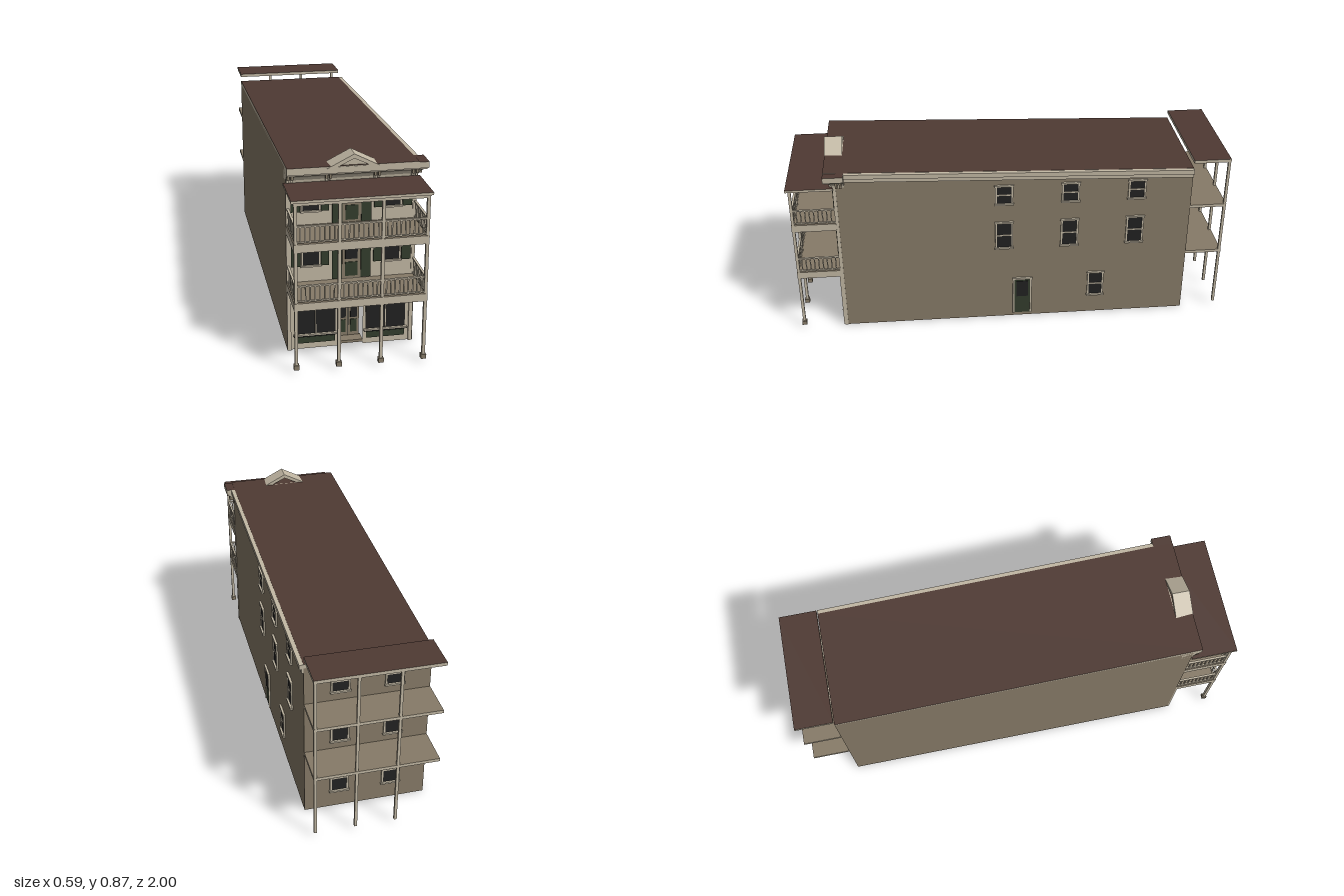
import * as THREE from 'three';

const mat = (name, color, side = THREE.FrontSide) => {
  const m = new THREE.MeshStandardMaterial({ color, side });
  m.name = name;
  return m;
};

export function createModel() {
  const cream = mat('cream trim', 0xc2b8a4, THREE.DoubleSide);
  const tan = mat('tan wall', 0x877b68, THREE.DoubleSide);
  const brown = mat('brown roof', 0x4f3a33);
  const green = mat('dark green', 0x333d2d);
  const glass = mat('dark glass', 0x222222);
  const root = new THREE.Group();
  root.name = 'building';

  const X0 = -0.285, X1 = 0.252, XC = (X0 + X1) / 2, ZF = 0.79, ZB = -0.83;
  const roofY = z => 0.79 + 0.0331 * z;

  const add = (parent, name, geo, material) => {
    const m = new THREE.Mesh(geo, material);
    m.name = name;
    parent.add(m);
    return m;
  };
  // Box given by its limits on each axis
  const box = (parent, name, material, x0, x1, y0, y1, z0, z1) => {
    const g = new THREE.BoxGeometry(x1 - x0, y1 - y0, z1 - z0);
    g.translate((x0 + x1) / 2, (y0 + y1) / 2, (z0 + z1) / 2);
    return add(parent, name, g, material);
  };
  // Box whose heights are measured from the sloping roof line
  const slopedBox = (name, material, x0, x1, d0, d1, z0, z1) => {
    const m = box(root, name, material, x0, x1, d0, d1, z0, z1);
    const p = m.geometry.attributes.position;
    for (let i = 0; i < p.count; i++) p.setY(i, p.getY(i) + roofY(p.getZ(i)));
    m.geometry.computeVertexNormals();
    return m;
  };
  const group = (name, x = 0, y = 0, z = 0, turn = 0) => {
    const g = new THREE.Group();
    g.name = name;
    g.position.set(x, y, z);
    g.rotation.y = turn;
    root.add(g);
    return g;
  };
  const shape = pts => new THREE.Shape(pts.map(p => new THREE.Vector2(...p)));

  // Walls: an open-bottomed shell with a notch for the shop door
  const sideShape = shape([[-ZF, 0], [-ZB, 0], [-ZB, roofY(ZB) - 0.01], [-ZF, roofY(ZF) - 0.01]]);
  for (const [name, x] of [['rightWall', X1], ['leftWall', X0]]) {
    const g = new THREE.ShapeGeometry(sideShape);
    if (x < 0) { g.rotateY(-Math.PI / 2); g.scale(1, 1, -1); g.index.array.reverse(); g.computeVertexNormals(); } else g.rotateY(Math.PI / 2);
    add(root, name, g, tan).position.x = x;
  }
  const D0 = -0.07, D1 = 0.038;
  add(root, 'frontWall', new THREE.ShapeGeometry(shape([[X0, 0], [D0, 0], [D0, 0.236], [D1, 0.236],
    [D1, 0], [X1, 0], [X1, 0.8], [X0, 0.8]])), cream).position.z = ZF;
  const back = add(root, 'backWall', new THREE.PlaneGeometry(X1 - X0, roofY(ZB) - 0.01), tan);
  back.position.set(XC, (roofY(ZB) - 0.01) / 2, ZB);
  back.rotation.y = Math.PI;
  box(root, 'cornerBoard', cream, X1 - 0.012, X1 + 0.003, 0, 0.76, ZF - 0.012, ZF + 0.003);

  // Main roof and eaves along the right side
  slopedBox('mainRoof', [cream, cream, brown, tan, cream, cream], X0, X1, -0.018, 0, ZB, 0.83);
  slopedBox('sideEave', cream, X1, 0.27, -0.022, -0.001, ZB, 0.74);
  slopedBox('sideFrieze', cream, X1, 0.261, -0.042, -0.022, ZB, 0.74);

  // Front cornice: slab over a cove that turns the right corner
  const slabMats = [cream, cream, brown, cream, cream, cream];
  box(root, 'corniceSlab', slabMats, X0, 0.293, 0.788, 0.814, 0.74, 0.83);
  const cove = [[0.004, 0.745], [0.006, 0.757], [0.013, 0.769], [0.024, 0.778], [0.034, 0.782], [0.034, 0.789]];
  const pos = [], idx = [];
  cove.forEach(([d, y], i) => {
    pos.push(X0, y, 0.74, X0, y, ZF + d, X1 + d, y, ZF + d, X1 + d, y, 0.74);
    if (i) for (let k = 0; k < 4; k++) {
      const a = (i - 1) * 4 + k, b = (i - 1) * 4 + (k + 1) % 4;
      idx.push(a, b, b + 4, a, b + 4, a + 4);
    }
  });
  let coveGeo = new THREE.BufferGeometry();
  coveGeo.setAttribute('position', new THREE.Float32BufferAttribute(pos, 3));
  coveGeo.setIndex(idx);
  coveGeo = coveGeo.toNonIndexed();
  coveGeo.computeVertexNormals();
  add(root, 'corniceCove', coveGeo, cream);
  // Paired brackets under the cornice
  for (const x of [-0.27, -0.115, 0.084, 0.24]) for (const s of [-0.008, 0.008]) {
    box(root, 'bracket', tan, x + s - 0.005, x + s + 0.005, 0.764, 0.783, ZF, ZF + 0.028);
    box(root, 'bracketDrop', cream, x + s - 0.004, x + s + 0.004, 0.75, 0.764, ZF, ZF + 0.016);
  }
  for (const z of [0.755, 0.773])
    box(root, 'sideBracket', tan, X1, X1 + 0.026, 0.752, 0.783, z - 0.005, z + 0.005);

  // Gable ornament with a sunken triangle
  const ped = shape([[-0.125, 0.79], [-0.09, 0.79], [-0.078, 0.797], [0.048, 0.797], [0.06, 0.79],
    [0.095, 0.79], [0.095, 0.809], [-0.015, 0.865], [-0.125, 0.809]]);
  ped.holes.push(new THREE.Path([[-0.08, 0.815], [-0.015, 0.846], [0.05, 0.815]].map(p => new THREE.Vector2(...p))));
  add(root, 'gable', new THREE.ExtrudeGeometry(ped, { depth: 0.08, bevelEnabled: false }), cream).position.z = 0.752;
  add(root, 'gablePanel', new THREE.ShapeGeometry(shape([[-0.08, 0.815], [0.05, 0.815], [-0.015, 0.846]])), cream).position.z = 0.82;

  // Sash window built facing +z, its origin at the centre of the sill line
  const sash = (name, x, y, z, turn, w, h, t = 0.008) => {
    const g = group(name, x, y, z, turn), a = w / 2;
    box(g, 'pane', glass, -a, a, 0, h, 0, 0.003);
    box(g, 'meetingRail', cream, -a, a, h / 2 - 0.003, h / 2 + 0.003, 0, 0.006);
    for (const s of [-1, 1]) box(g, 'jamb', cream, s * (a + t / 2) - t / 2, s * (a + t / 2) + t / 2, 0, h, 0, 0.007);
    box(g, 'head', cream, -a - t - 0.003, a + t + 0.003, h, h + t, 0, 0.01);
    box(g, 'sill', cream, -a - t - 0.003, a + t + 0.003, -t, 0, 0, 0.012);
  };
  const R = Math.PI / 2;
  for (const z of [0.033, -0.27, -0.575]) {
    sash('sideWindowUpper', X1, 0.627, z, R, 0.066, 0.085);
    sash('sideWindowMiddle', X1, 0.393, z, R, 0.066, 0.128);
  }
  sash('sideWindowLower', X1, 0.105, -0.403, R, 0.062, 0.118);
  for (const x of [0.1, -0.13]) for (const [y, h] of [[0.09, 0.13], [0.362, 0.13], [0.615, 0.095]])
    sash('backWindow', x, y, ZB, Math.PI, 0.066, h);

  // Side door
  const sd = group('sideDoor', X1, 0.018, -0.053, R);
  box(sd, 'doorLeaf', green, -0.038, 0.038, 0, 0.19, 0, 0.004);
  box(sd, 'doorPane', glass, -0.028, 0.028, 0.095, 0.18, 0.004, 0.007);
  for (const s of [-0.041, 0.041]) box(sd, 'doorJamb', cream, s - 0.004, s + 0.004, 0, 0.19, 0, 0.008);
  box(sd, 'doorHead', cream, -0.047, 0.047, 0.19, 0.2, 0, 0.01);

  // Upper front storeys: windows, shutters and balcony doors
  for (const [y0, y1, yd, yg, yp] of [[0.38, 0.522, 0.314, 0.4, 0.386], [0.62, 0.718, 0.564, 0.65, 0.637]]) {
    for (const [x, s0, s1, s2, s3] of [[-0.184, -0.266, -0.228, -0.142, -0.109], [0.154, 0.078, 0.114, 0.197, 0.236]]) {
      sash('frontWindow', x, y0 + 0.004, ZF, 0, 0.066, y1 - y0 - 0.01, 0.007);
      box(root, 'shutter', green, s0, s1, y0, y1, ZF, ZF + 0.006);
      box(root, 'shutter', green, s2, s3, y0, y1, ZF, ZF + 0.006);
    }
    box(root, 'doorShutter', green, -0.096, -0.054, yd, y1, ZF, ZF + 0.006);
    box(root, 'doorShutter', green, 0.025, 0.066, yd, y1, ZF, ZF + 0.006);
    box(root, 'balconyDoor', tan, -0.053, 0.024, yd, y1, ZF, ZF + 0.004);
    box(root, 'balconyDoorPane', glass, -0.041, 0.011, yg, y1 - 0.008, ZF + 0.004, ZF + 0.007);
    box(root, 'balconyDoorPanel', green, -0.041, 0.011, yd + 0.01, yp, ZF + 0.004, ZF + 0.007);
  }

  // Shop front on both sides of the door
  for (const [a, b] of [[-0.25, -0.079], [0.05, 0.221]]) {
    const m = (a + b) / 2;
    box(root, 'shopFascia', green, a, b, 0.24, 0.268, ZF, ZF + 0.005);
    box(root, 'shopHeader', glass, a - 0.008, b + 0.008, 0.231, 0.235, ZF, ZF + 0.009);
    box(root, 'shopPane', glass, a, b, 0.07, 0.227, ZF, ZF + 0.003);
    box(root, 'shopMullion', cream, m - 0.002, m + 0.002, 0.07, 0.227, ZF, ZF + 0.006);
    box(root, 'shopSill', cream, a - 0.008, b + 0.008, 0.064, 0.069, ZF, ZF + 0.012);
    box(root, 'shopSillEdge', glass, a - 0.008, b + 0.008, 0.06, 0.064, ZF, ZF + 0.012);
    box(root, 'shopPanel', green, a + 0.003, b - 0.003, 0.027, 0.055, ZF, ZF + 0.005);
  }
  for (const x of [X0, X1 - 0.016]) box(root, 'shopPilaster', cream, x, x + 0.016, 0, 0.277, ZF, ZF + 0.008);

  // Recessed double door with transom
  const zd = 0.735;
  box(root, 'transom', tan, D0, D1, 0.207, 0.236, zd, zd + 0.01);
  box(root, 'transomPane', glass, D0 + 0.008, D1 - 0.008, 0.212, 0.23, zd + 0.01, zd + 0.013);
  box(root, 'threshold', tan, D0, D1, 0.008, 0.02, zd, ZF);
  for (const x of [-0.04, 0.008]) {
    box(root, 'shopDoor', tan, x - 0.0235, x + 0.0235, 0.02, 0.207, zd, zd + 0.008);
    box(root, 'shopDoorPane', glass, x - 0.014, x + 0.014, 0.105, 0.19, zd + 0.008, zd + 0.011);
    box(root, 'shopDoorPanel', green, x - 0.014, x + 0.014, 0.037, 0.096, zd + 0.008, zd + 0.011);
  }
  box(root, 'doorSplit', glass, -0.0175, -0.0145, 0.02, 0.207, zd + 0.008, zd + 0.01);

  // Front porch: roof, decks, posts and feet
  const deckMats = [cream, cream, tan, tan, cream, cream];
  const postX = [-0.277, -0.103, 0.071, 0.25], zp = 0.982;
  box(root, 'porchRoof', [cream, cream, brown, tan, cream, cream], -0.296, 0.265, 0.735, 0.746, ZF, 1);
  box(root, 'porchRoofBeam', cream, X0, 0.257, 0.72, 0.735, zp - 0.006, zp + 0.006);
  for (const x of postX) {
    box(root, 'porchPost', cream, x - 0.0065, x + 0.0065, 0.02, 0.735, zp - 0.0065, zp + 0.0065);
    box(root, 'postFoot', tan, x - 0.011, x + 0.011, 0.016, 0.036, zp - 0.011, zp + 0.011);
  }

  // Railing between two points on a deck
  const railing = (y, xa, za, xb, zb) => {
    const len = Math.hypot(xb - xa, zb - za);
    const g = group('railing', xa, y, za, Math.atan2(za - zb, xb - xa));
    box(g, 'topRail', cream, 0, len, 0.069, 0.075, -0.005, 0.005);
    box(g, 'bottomRail', cream, 0, len, 0.004, 0.009, -0.004, 0.004);
    const n = Math.round(len / 0.0185);
    for (let i = 1; i < n; i++) {
      const x = len * i / n;
      box(g, 'baluster', cream, x - 0.0025, x + 0.0025, 0.009, 0.069, -0.0025, 0.0025);
    }
  };
  for (const [y0, y1] of [[0.277, 0.31], [0.527, 0.562]]) {
    box(root, 'porchDeck', deckMats, X0, 0.257, y0, y1, ZF, 0.99);
    for (let i = 0; i < 3; i++) railing(y1, postX[i], zp, postX[i + 1], zp);
    for (const x of [postX[0], postX[3]]) railing(y1, x, ZF, x, zp);
  }

  // Rear gallery: two decks, a roof and three thin posts
  for (const [y0, y1] of [[0.305, 0.319], [0.554, 0.568]])
    box(root, 'rearDeck', deckMats, X0, X1, y0, y1, -1, ZB);
  box(root, 'rearRoof', [cream, cream, brown, tan, cream, cream], X0, X1, 0.785, 0.8, -1, ZB);
  for (const x of [0.245, 0.07, -0.105])
    box(root, 'rearPost', cream, x - 0.006, x + 0.006, 0.02, 0.785, -0.999, -0.987);

  // Stand the lowest edge on the ground
  return root;
}
